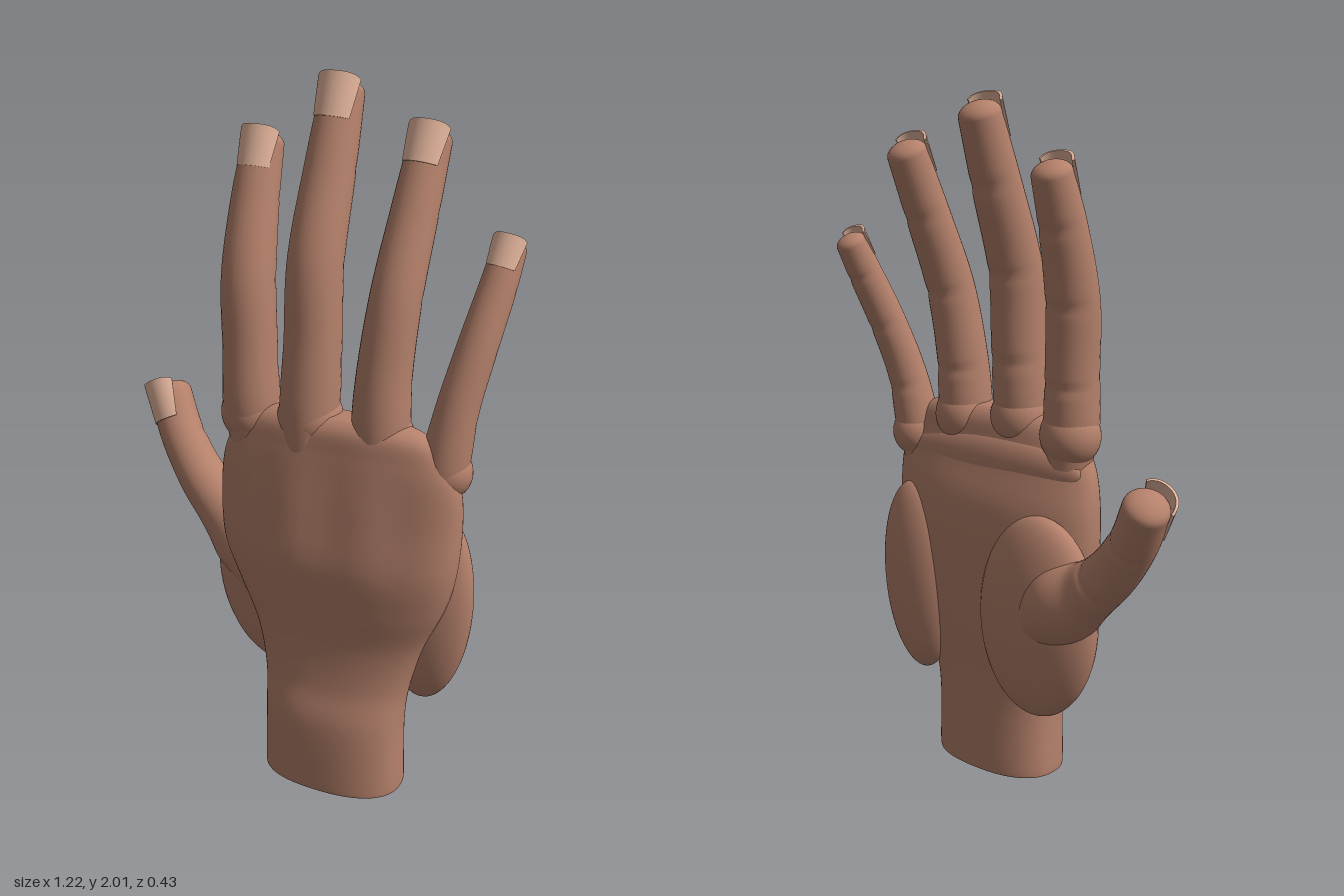
import * as THREE from 'three';

const skin = new THREE.MeshStandardMaterial({ color: 0xb5816b });
skin.name = 'skin';
const nailColour = new THREE.MeshStandardMaterial({ color: 0xe6b79e });
nailColour.name = 'nail';

// Smooth interpolation of rows of numbers
function sample(rows, t) {
  const f = Math.min(Math.max(t, 0), 1) * (rows.length - 1);
  const i = Math.min(Math.floor(f), rows.length - 2), u = f - i;
  const p1 = rows[i], p2 = rows[i + 1];
  return p1.map((b, k) => {
    const c = p2[k];
    const a = i > 0 ? rows[i - 1][k] : 2 * b - c;
    const d = i + 2 < rows.length ? rows[i + 2][k] : 2 * c - b;
    return b + 0.5 * u * (c - a + u * (2 * a - 5 * b + 4 * c - d + u * (3 * (b - c) + d - a)));
  });
}

// Closed skin over rings of points, with flat end caps
function loft(rings) {
  const n = rings[0].length, pos = [], index = [];
  rings.forEach(r => r.forEach(p => pos.push(p.x, p.y, p.z)));
  for (let i = 0; i < rings.length - 1; i++) {
    for (let j = 0; j < n; j++) {
      const a = i * n + j, c = i * n + (j + 1) % n;
      index.push(a, a + n, c, c, a + n, c + n);
    }
  }
  [rings[0], rings[rings.length - 1]].forEach((ring, end) => {
    const base = pos.length / 3;
    const mid = new THREE.Vector3();
    ring.forEach(p => { pos.push(p.x, p.y, p.z); mid.addScaledVector(p, 1 / n); });
    pos.push(mid.x, mid.y, mid.z);
    for (let j = 0; j < n; j++) {
      const a = base + j, b = base + (j + 1) % n;
      if (end) index.push(base + n, b, a); else index.push(base + n, a, b);
    }
  });
  const g = new THREE.BufferGeometry();
  g.setAttribute('position', new THREE.Float32BufferAttribute(pos, 3));
  g.setIndex(index);
  g.computeVertexNormals();
  return g;
}

function add(group, name, geometry, material = skin) {
  const mesh = new THREE.Mesh(geometry, material);
  mesh.name = name;
  group.add(mesh);
  return mesh;
}

function ellipsoid(group, name, centre, radii, tilt = 0) {
  const m = add(group, name, new THREE.SphereGeometry(1, 40, 28));
  m.position.set(...centre);
  m.scale.set(...radii);
  m.rotation.z = tilt;
}

// Wrist and palm: rows are y, xMin, xMax, zMin, zMax
function palmGeometry() {
  const rows = [
    [0, -0.045, 0.365, -0.04, 0.21], [0.012, -0.052, 0.372, -0.045, 0.215],
    [0.2, -0.05, 0.37, -0.042, 0.212], [0.32, -0.062, 0.382, -0.045, 0.187],
    [0.45, -0.095, 0.42, -0.055, 0.18], [0.58, -0.15, 0.48, -0.06, 0.195],
    [0.7, -0.195, 0.512, -0.06, 0.205], [0.84, -0.207, 0.522, -0.05, 0.19],
    [0.95, -0.195, 0.518, -0.02, 0.175], [1.02, -0.165, 0.49, 0, 0.165],
    [1.08, -0.11, 0.44, 0.015, 0.155], [1.11, -0.03, 0.35, 0.04, 0.13],
    [1.115, 0.1, 0.2, 0.07, 0.1],
  ];
  const rings = [];
  for (let i = 0; i <= 90; i++) {
    const [y, x0, x1, z0, z1] = sample(rows, i / 90);
    const ridge = 0.004 * Math.exp(-(((y - 0.85) / 0.17) ** 2));
    const ring = [];
    for (let j = 0; j < 64; j++) {
      const a = j / 64 * Math.PI * 2, c = Math.cos(a), s = Math.sin(a);
      const x = (x0 + x1) / 2 + (x1 - x0) / 2 * Math.sign(c) * Math.abs(c) ** 0.84;
      let z = (z0 + z1) / 2 + (z1 - z0) / 2 * Math.sign(s) * Math.abs(s) ** 0.84;
      // Faint tendons on the back of the hand
      if (s > 0) z += ridge * s * Math.cos((x - 0.07) * 30);
      ring.push(new THREE.Vector3(x, y, z));
    }
    rings.push(ring);
  }
  return loft(rings);
}

// Centre, radius and axes along a finger whose rows are x, y, z, radius
function frame(rows, t, facing) {
  const [x, y, z, r] = sample(rows, t);
  const a = sample(rows, t - 0.01), b = sample(rows, t + 0.01);
  const T = new THREE.Vector3(b[0] - a[0], b[1] - a[1], b[2] - a[2]).normalize();
  const N = facing.clone().addScaledVector(T, -facing.dot(T)).normalize();
  return { C: new THREE.Vector3(x, y, z), r, T, N, S: T.clone().cross(N) };
}

function fingerGeometry(rows, facing, joints) {
  const rings = [], steps = 60;
  const ringAt = (f, r, lift, dip) => {
    const ring = [];
    for (let j = 0; j < 32; j++) {
      const a = j / 32 * Math.PI * 2;
      const q = r * (1 - dip * Math.max(0, -Math.sin(a)));
      ring.push(f.C.clone().addScaledVector(f.T, lift)
        .addScaledVector(f.S, q * Math.cos(a)).addScaledVector(f.N, q * Math.sin(a)));
    }
    rings.push(ring);
  };
  for (let i = 0; i <= steps; i++) {
    const t = i / steps, f = frame(rows, t, facing);
    // Creases on the palm side of each joint
    const dip = joints.reduce((s, k) => s + 0.07 * Math.exp(-(((t - k) / 0.015) ** 2)), 0);
    ringAt(f, f.r, 0, dip);
  }
  // Rounded tip
  const f = frame(rows, 1, facing);
  for (let i = 1; i <= 8; i++) {
    const a = i / 8 * Math.PI / 2 * 0.98;
    ringAt(f, f.r * Math.cos(a), f.r * 0.6 * Math.sin(a), 0);
  }
  return loft(rings);
}

// Curved nail plate bent around the fingertip
function nailGeometry(rows, facing) {
  const f = frame(rows, 1, facing);
  const g = new THREE.BoxGeometry(2, 1, 1, 16, 10, 1), p = g.attributes.position;
  for (let i = 0; i < p.count; i++) {
    const u = p.getX(i), v = p.getY(i) + 0.5;
    const a = u * (0.9 + 0.22 * v);
    const rad = f.r * (1.05 + 0.04 * v) + p.getZ(i) * 0.008;
    const along = f.r * (-1.25 + (1.95 - 0.2 * u ** 4) * v);
    const q = f.C.clone().addScaledVector(f.T, along)
      .addScaledVector(f.S, rad * Math.sin(a)).addScaledVector(f.N, rad * Math.cos(a));
    p.setXYZ(i, q.x, q.y, q.z);
  }
  g.computeVertexNormals();
  return g;
}

export function createModel() {
  const hand = new THREE.Group();
  hand.name = 'hand';
  add(hand, 'palmAndWrist', palmGeometry());

  // Fleshy pads of the palm
  ellipsoid(hand, 'thumbPad', [-0.085, 0.545, -0.035], [0.205, 0.305, 0.092], 0.06);
  ellipsoid(hand, 'outerPad', [0.405, 0.555, -0.01], [0.13, 0.3, 0.075], -0.06);
  ellipsoid(hand, 'upperPad', [0.16, 0.955, 0.04], [0.335, 0.1, 0.06], -0.04);

  const front = new THREE.Vector3(0, 0, 1);
  const fingers = {
    indexFinger: [[-0.11, 0.98, 0.07, 0.065], [-0.117, 1.1, 0.072, 0.08], [-0.122, 1.25, 0.067, 0.077],
      [-0.133, 1.45, 0.052, 0.076], [-0.14, 1.65, 0, 0.067], [-0.14, 1.8, -0.05, 0.057]],
    middleFinger: [[0.075, 0.98, 0.095, 0.07], [0.075, 1.12, 0.088, 0.083], [0.079, 1.3, 0.078, 0.08],
      [0.077, 1.52, 0.06, 0.077], [0.08, 1.75, -0.013, 0.07], [0.083, 1.945, -0.078, 0.06]],
    ringFinger: [[0.28, 0.98, 0.08, 0.07], [0.283, 1.1, 0.075, 0.08], [0.287, 1.25, 0.066, 0.075],
      [0.302, 1.45, 0.036, 0.07], [0.315, 1.65, -0.035, 0.064], [0.325, 1.835, -0.108, 0.057]],
    littleFinger: [[0.45, 0.92, 0.06, 0.055], [0.464, 1.02, 0.055, 0.066], [0.486, 1.17, 0.037, 0.058],
      [0.516, 1.33, -0.01, 0.054], [0.54, 1.47, -0.068, 0.05], [0.553, 1.57, -0.113, 0.045]],
  };
  for (const [name, rows] of Object.entries(fingers)) {
    add(hand, name, fingerGeometry(rows, front, [0.36, 0.6, 0.82]));
    add(hand, name + 'Nail', nailGeometry(rows, front), nailColour);
    // Knuckle swelling at the root
    const [x, y, z, r] = rows[1];
    ellipsoid(hand, name + 'Knuckle', [x, y - 0.03, z - 0.005], [r * 1.12, r * 1.15, r * 1.05]);
  }

  const thumb = [[-0.1, 0.54, -0.02, 0.1], [-0.2, 0.625, -0.05, 0.115], [-0.295, 0.69, -0.067, 0.085],
    [-0.385, 0.77, -0.086, 0.073], [-0.47, 0.88, -0.115, 0.067], [-0.53, 0.99, -0.15, 0.064]];
  const thumbFront = new THREE.Vector3(-0.3, 0, 1);
  add(hand, 'thumb', fingerGeometry(thumb, thumbFront, [0.5, 0.78]));
  add(hand, 'thumbNail', nailGeometry(thumb, thumbFront), nailColour);
  return hand;
}
